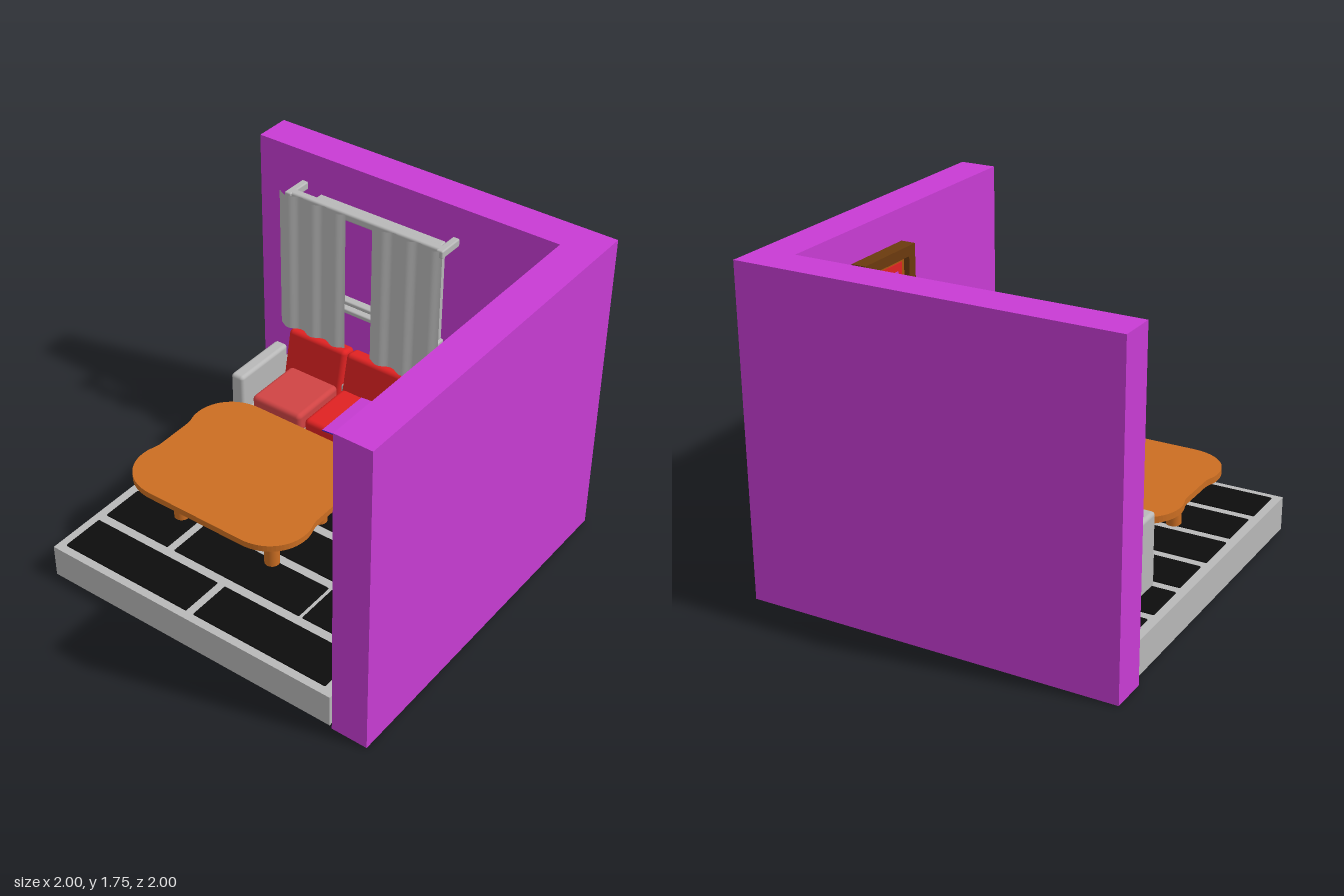
import * as THREE from 'three';
import { RoundedBoxGeometry } from 'three/addons/geometries/RoundedBoxGeometry.js';

const mat = (name, color, side = THREE.FrontSide) => {
  const m = new THREE.MeshStandardMaterial({ color, side });
  m.name = name;
  return m;
};

export function createModel() {
  const M = {
    magenta: mat('magenta', 0xc83cd4, THREE.DoubleSide),
    grey: mat('grey', 0xb8b8b8, THREE.DoubleSide),
    black: mat('black', 0x0d0d0d),
    orange: mat('orange wood', 0xcc6e22),
    brown: mat('brown wood', 0xa8560f),
    darkBrown: mat('dark brown wood', 0x6b3a0e),
    red: mat('red', 0xe02222),
    paleRed: mat('pale red', 0xd04444),
    blue: mat('blue', 0x3a28cc),
    green: mat('green', 0x3cd060),
  };
  const room = new THREE.Group();
  room.name = 'livingRoom';

  const group = (name) => {
    const g = new THREE.Group();
    g.name = name;
    room.add(g);
    return g;
  };
  const add = (parent, name, geometry, material, x = 0, y = 0, z = 0) => {
    const m = new THREE.Mesh(geometry, material);
    m.name = name;
    m.position.set(x, y, z);
    parent.add(m);
    return m;
  };
  // Box given by its limits on each axis, with optional rounded edges
  const box = (parent, name, material, [x0, x1], [y0, y1], [z0, z1], r = 0) => {
    const s = [x1 - x0, y1 - y0, z1 - z0];
    const g = r ? new RoundedBoxGeometry(...s, 3, r) : new THREE.BoxGeometry(...s);
    return add(parent, name, g, material, (x0 + x1) / 2, (y0 + y1) / 2, (z0 + z1) / 2);
  };

  // Walls and floor slab
  box(room, 'backWall', M.magenta, [-1, 1], [0, 1.75], [-1, -0.8]);
  box(room, 'sideWall', M.magenta, [0.8, 1], [0, 1.75], [-0.8, 1]);
  box(room, 'floorSlab', M.grey, [-0.965, 0.78], [0, 0.185], [-0.81, 0.99]);

  // Floor tiles in a staggered bond
  const tiles = group('floorTiles');
  for (let row = 0; row < 6; row++) {
    const z = -0.787 + row * 0.2975;
    const spans = row % 2
      ? [[-0.92, -0.125], [-0.08, 0.72]]
      : [[-0.915, -0.5], [-0.455, 0.34], [0.36, 0.73]];
    for (const s of spans) box(tiles, 'tile', M.black, s, [0.18, 0.193], [z, z + 0.245], 0.006);
  }

  // Sofa
  const sofa = group('sofa');
  box(sofa, 'sofaBase', M.grey, [-0.815, 0.09], [0.21, 0.39], [-0.67, -0.27], 0.015);
  for (const x of [-0.815, 0.01]) {
    box(sofa, 'armrest', M.grey, [x, x + 0.08], [0.22, 0.605], [-0.67, -0.27], 0.02);
  }
  box(sofa, 'sofaBack', M.grey, [-0.78, 0.055], [0.21, 0.5], [-0.78, -0.66], 0.015);
  box(sofa, 'leftSeatCushion', M.paleRed, [-0.69, -0.37], [0.385, 0.5], [-0.64, -0.29], 0.025);
  box(sofa, 'rightSeatCushion', M.red, [-0.34, 0.01], [0.385, 0.5], [-0.64, -0.29], 0.025);
  for (const x of [-0.74, -0.355]) {
    box(sofa, 'backCushion', M.red, [x, x + 0.378], [0.385, 0.69], [-0.755, -0.655], 0.025)
      .rotation.x = -0.2;
  }

  // Blanket draped from the seat over the armrest
  const drape = new THREE.CatmullRomCurve3([
    [-0.205, 0.505], [-0.13, 0.512], [-0.06, 0.515], [-0.025, 0.575],
    [0.005, 0.612], [0.05, 0.615], [0.09, 0.605], [0.107, 0.56], [0.104, 0.5],
  ].map(([x, y]) => new THREE.Vector3(x, y, 0))).getPoints(40);
  const ribbon = new THREE.Shape([
    ...drape.map((p) => new THREE.Vector2(p.x, p.y)),
    ...drape.reverse().map((p) => new THREE.Vector2(p.x, p.y - 0.008)),
  ]);
  add(sofa, 'blanket', new THREE.ExtrudeGeometry(ribbon, { depth: 0.35, bevelEnabled: false }),
    [M.blue, M.magenta], 0, 0, -0.622);

  // Coffee table with soft corners and waisted ends
  const table = group('coffeeTable');
  const outline = new THREE.Shape();
  outline.moveTo(-0.29, -0.44);
  outline.lineTo(0.29, -0.44);
  outline.bezierCurveTo(0.43, -0.44, 0.525, -0.34, 0.525, -0.22);
  outline.bezierCurveTo(0.525, -0.16, 0.505, -0.15, 0.505, -0.1);
  outline.lineTo(0.505, 0.1);
  outline.bezierCurveTo(0.505, 0.15, 0.525, 0.16, 0.525, 0.22);
  outline.bezierCurveTo(0.525, 0.34, 0.43, 0.44, 0.29, 0.44);
  outline.lineTo(-0.29, 0.44);
  outline.bezierCurveTo(-0.43, 0.44, -0.525, 0.34, -0.525, 0.22);
  outline.bezierCurveTo(-0.525, 0.16, -0.505, 0.15, -0.505, 0.1);
  outline.lineTo(-0.505, -0.1);
  outline.bezierCurveTo(-0.505, -0.15, -0.525, -0.16, -0.525, -0.22);
  outline.bezierCurveTo(-0.525, -0.34, -0.43, -0.44, -0.29, -0.44);
  const topGeo = new THREE.ExtrudeGeometry(outline, { depth: 0.035, bevelEnabled: false, curveSegments: 16 });
  topGeo.rotateX(-Math.PI / 2);
  add(table, 'tableTop', topGeo, M.orange, -0.295, 0.475, 0.22);
  for (const x of [-0.595, -0.002]) for (const z of [0.02, 0.42]) {
    add(table, 'tableLeg', new THREE.CylinderGeometry(0.04, 0.04, 0.29, 24), M.orange, x, 0.335, z);
  }

  // Floor lamp
  const lamp = group('floorLamp');
  lamp.position.set(0.435, 0, -0.46);
  add(lamp, 'lampBase', new THREE.CylinderGeometry(0.135, 0.135, 0.045, 40), M.green, 0, 0.238, 0);
  add(lamp, 'lampPole', new THREE.CylinderGeometry(0.02, 0.02, 0.73, 20), M.blue, 0, 0.615, 0);
  add(lamp, 'lampKnob', new THREE.CylinderGeometry(0.02, 0.02, 0.02, 20), M.magenta, 0, 0.99, 0);
  add(lamp, 'lampShade', new THREE.CylinderGeometry(0.08, 0.183, 0.207, 40, 1, true), M.magenta, 0, 0.957, 0);

  // Cabinet with upper doors and lower drawers
  const cabinet = group('cabinet');
  box(cabinet, 'cabinetBody', M.brown, [0.508, 0.76], [0.19, 1.1], [-0.27, 0.425]);
  for (const z of [-0.24, 0.11]) {
    box(cabinet, 'cabinetDoor', M.brown, [0.47, 0.51], [0.435, 1.07], [z, z + 0.29], 0.008);
    box(cabinet, 'cabinetDrawer', M.brown, [0.47, 0.51], [0.205, 0.375], [z, z + 0.29], 0.008);
  }

  // Framed picture on the side wall, with nested squares
  const picture = group('wallPicture');
  const square = (h, Kind) => new Kind([[-h, -h], [h, -h], [h, h], [-h, h]].map((p) => new THREE.Vector2(...p)));
  const frameShape = square(0.22, THREE.Shape);
  frameShape.holes.push(square(0.165, THREE.Path));
  const frame = add(picture, 'pictureFrame',
    new THREE.ExtrudeGeometry(frameShape, { depth: 0.08, bevelEnabled: false }), M.darkBrown, 0.8, 1.36, -0.14);
  frame.rotation.y = -Math.PI / 2;
  [[0.165, M.brown], [0.14, M.red], [0.1, M.magenta], [0.065, M.blue]].forEach(([h, m], i) => {
    box(picture, 'paintedSquare', m, [0.752 - i * 0.004, 0.757 - i * 0.004],
      [1.36 - h, 1.36 + h], [-0.14 - h, -0.14 + h]);
  });

  // Window
  const win = group('window');
  for (const x of [-0.61, -0.24, 0.11]) box(win, 'windowUpright', M.grey, [x, x + 0.055], [0.95, 1.52], [-0.81, -0.755], 0.008);
  box(win, 'windowHead', M.grey, [-0.61, 0.165], [1.49, 1.53], [-0.81, -0.745], 0.008);
  box(win, 'windowSillUpper', M.grey, [-0.61, 0.165], [0.945, 0.97], [-0.81, -0.755], 0.008);
  box(win, 'windowSill', M.grey, [-0.63, 0.18], [0.92, 0.947], [-0.81, -0.72], 0.008);

  // Curtain rail, brackets and wavy curtains
  const curtains = group('curtains');
  box(curtains, 'curtainRail', M.grey, [-0.73, 0.245], [1.53, 1.575], [-0.71, -0.66], 0.012);
  for (const x of [-0.73, 0.205]) box(curtains, 'railBracket', M.grey, [x, x + 0.04], [1.53, 1.575], [-0.81, -0.65], 0.008);
  for (const x of [-0.555, 0.03]) {
    const cloth = new THREE.PlaneGeometry(0.42, 0.82, 48, 1);
    const p = cloth.attributes.position;
    for (let i = 0; i < p.count; i++) p.setZ(i, 0.014 * Math.cos(p.getX(i) * 42));
    cloth.computeVertexNormals();
    add(curtains, 'curtain', cloth, M.grey, x, 1.16, -0.645);
  }

  return room;
}
